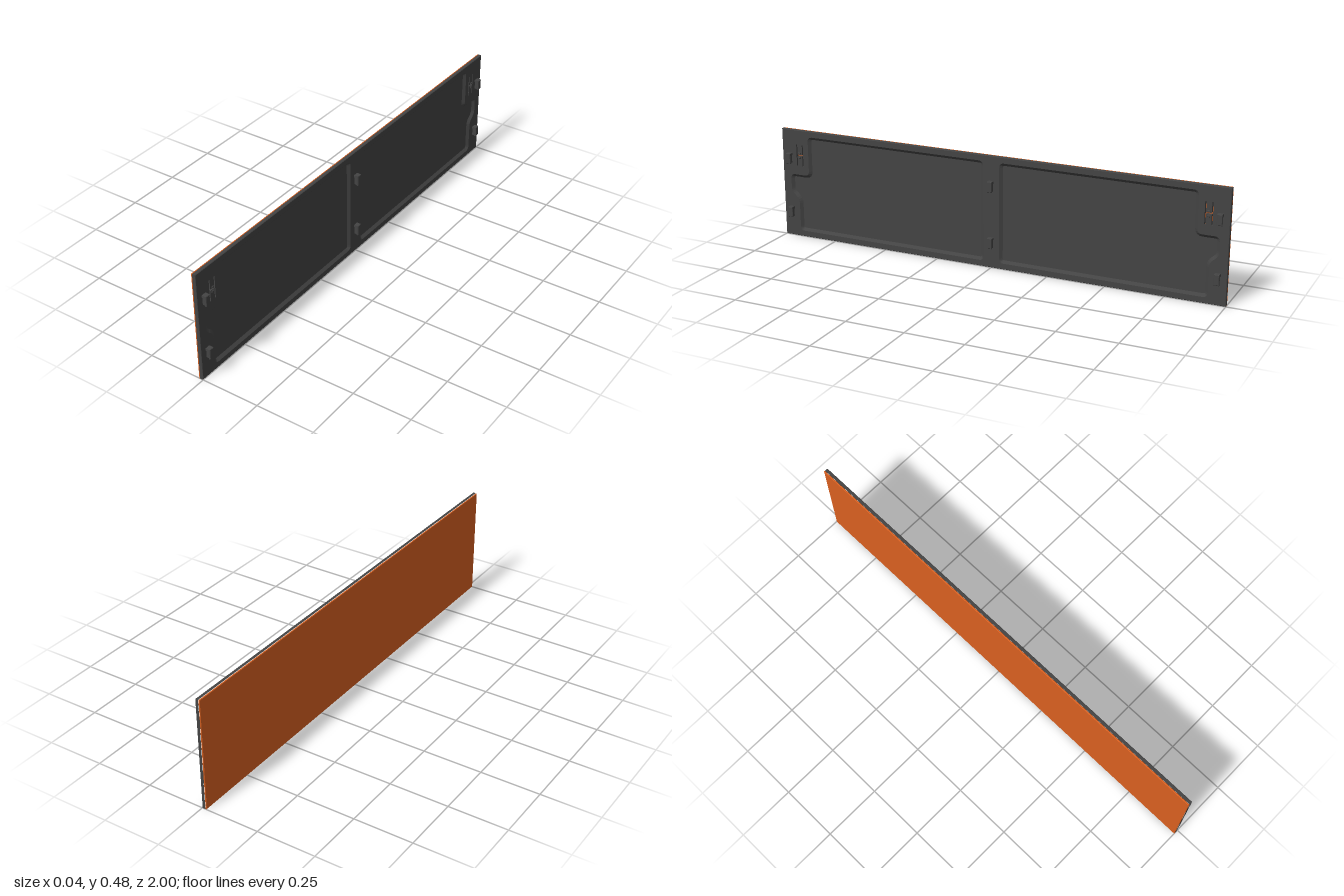
import * as THREE from 'three';

const DARK = new THREE.MeshStandardMaterial({ color: 0x444444 });
const ORANGE = new THREE.MeshStandardMaterial({ color: 0xd96020 });

const HALF = 1, HEIGHT = 0.48, FRAME = 0.014, POCKET = 0.01;

const vec = (list) => list.map(([u, y]) => new THREE.Vector2(u, y));
const rect = (u0, y0, u1, y1) => vec([[u0, y0], [u1, y0], [u1, y1], [u0, y1]]);
const mirror = (loop) => loop.map((p) => new THREE.Vector2(-p.x, p.y)).reverse();

// Replaces each corner with a short curve
function rounded(loop, r, steps = 4) {
  return loop.flatMap((p, i) => {
    const prev = loop[(i + loop.length - 1) % loop.length];
    const next = loop[(i + 1) % loop.length];
    const a = p.clone().add(prev.clone().sub(p).setLength(r));
    const b = p.clone().add(next.clone().sub(p).setLength(r));
    return new THREE.QuadraticBezierCurve(a, p, b).getPoints(steps);
  });
}

// Moves a counter-clockwise loop inward by d
function inset(loop, d) {
  return loop.map((p, i) => {
    const e1 = p.clone().sub(loop[(i + loop.length - 1) % loop.length]).normalize();
    const e2 = loop[(i + 1) % loop.length].clone().sub(p).normalize();
    const n = new THREE.Vector2(-e1.y - e2.y, e1.x + e2.x);
    return p.clone().addScaledVector(n, d / (1 + e1.dot(e2)));
  });
}

// Flat-shaded strip joining two loops at two depths
function strip(a, za, b, zb) {
  const pos = [];
  a.forEach((p, i) => {
    const j = (i + 1) % a.length;
    const A = [p.x, p.y, za], B = [a[j].x, a[j].y, za];
    const C = [b[j].x, b[j].y, zb], D = [b[i].x, b[i].y, zb];
    pos.push(...A, ...B, ...C, ...A, ...C, ...D);
  });
  const g = new THREE.BufferGeometry();
  g.setAttribute('position', new THREE.Float32BufferAttribute(pos, 3));
  g.computeVertexNormals();
  return g;
}

function add(parent, name, geometry, material, x = 0, y = 0, z = 0) {
  const mesh = new THREE.Mesh(geometry, material);
  mesh.name = name;
  mesh.position.set(x, y, z);
  parent.add(mesh);
  return mesh;
}

// Solid with chamfered edges, filling w x h x depth from z = 0
function chamferedPlate(w, h, depth, c) {
  const g = new THREE.ExtrudeGeometry(
    new THREE.Shape(rect(-w / 2 + c, -h / 2 + c, w / 2 - c, h / 2 - c)),
    { depth: depth - 2 * c, bevelSize: c, bevelThickness: c, bevelSegments: 1 });
  return g.translate(0, 0, c);
}

export function createModel() {
  const model = new THREE.Group();
  model.name = 'panel';
  // Built facing +z, then turned so the inner face looks toward +x
  const body = new THREE.Group();
  body.name = 'panelBody';
  body.rotation.y = Math.PI / 2;
  model.add(body);

  // Coloured outer skin
  add(body, 'outerSkin', chamferedPlate(2 * HALF, HEIGHT, 0.006, 0.002), ORANGE, 0, HEIGHT / 2, -0.02);

  // Pocket outline with the stepped outer end
  const pocket = rounded(vec([
    [0.036, 0.025], [0.925, 0.025], [0.925, 0.17], [0.963, 0.2],
    [0.963, 0.28], [0.872, 0.28], [0.872, 0.455], [0.036, 0.455],
  ]), 0.02);
  const pockets = [pocket, mirror(pocket)];

  // H-shaped slot that frees two small spring tongues
  const slot = vec([
    [0.898, 0.32], [0.903, 0.32], [0.903, 0.364], [0.926, 0.364], [0.926, 0.32], [0.931, 0.32],
    [0.931, 0.415], [0.926, 0.415], [0.926, 0.371], [0.903, 0.371], [0.903, 0.415], [0.898, 0.415],
  ]);
  const slots = [slot, mirror(slot)];

  // Inner frame: rim face with openings, then its edges
  const edge = rect(-HALF, 0, HALF, HEIGHT);
  const rimEdge = inset(edge, 0.002);
  const rim = new THREE.Shape(rimEdge);
  rim.holes = [...pockets, ...slots].map((loop) => new THREE.Path(loop));
  add(body, 'frameFace', new THREE.ShapeGeometry(rim), DARK);
  add(body, 'frameSides', strip(edge, -FRAME, edge, -0.002), DARK);
  add(body, 'frameChamfer', strip(edge, -0.002, rimEdge, 0), DARK);

  // Sloped pocket walls and floors
  for (const loop of pockets) {
    const floor = inset(loop, 0.012);
    add(body, 'pocketWall', strip(loop, 0, floor, -POCKET), DARK);
    add(body, 'pocketFloor', new THREE.ShapeGeometry(new THREE.Shape(floor)), DARK, 0, 0, -POCKET);
  }
  for (const loop of slots) add(body, 'slotWall', strip(loop, 0, loop, -FRAME), DARK);

  // Small bumps on the tongue tips
  for (const side of [-1, 1]) {
    for (const y of [0.358, 0.377]) {
      add(body, 'tongueBump', chamferedPlate(0.012, 0.008, 0.005, 0.0015), DARK, side * 0.9145, y, 0);
    }
  }

  // Mounting clips: a stem with a hooked cap
  for (const u of [-0.963, 0, 0.963]) {
    for (const y of [0.11, 0.353]) {
      const clip = new THREE.Group();
      clip.name = 'clip';
      clip.position.set(u, y, 0);
      add(clip, 'clipStem', new THREE.BoxGeometry(0.016, 0.043, 0.014), DARK, 0, 0, 0.007);
      add(clip, 'clipCap', chamferedPlate(0.022, 0.045, 0.009, 0.002), DARK, 0, 0, 0.011);
      add(clip, 'clipTop', new THREE.BoxGeometry(0.022, 0.01, 0.013), DARK, 0, 0.0175, 0.0065);
      body.add(clip);
    }
  }
  return model;
}
